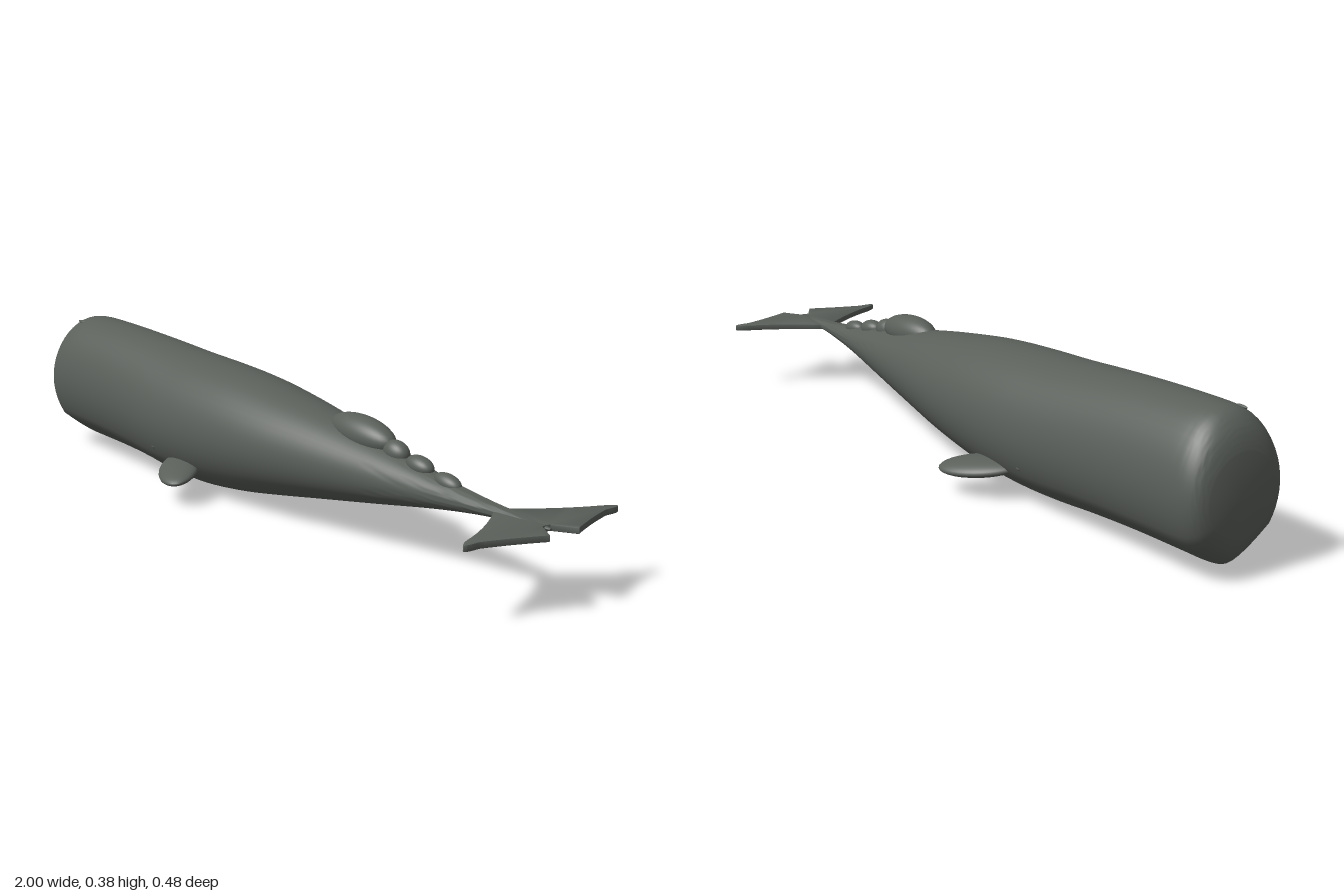
import * as THREE from 'three';
import { toCreasedNormals } from 'three/addons/utils/BufferGeometryUtils.js';

const skin = new THREE.MeshStandardMaterial({ color: 0x5a5f5a });
skin.name = 'slate grey skin';

// Stations from snout to tail: x, top, bottom, half width, jaw flattening
const STATIONS = [
  [-1, 0.3, 0.1, 0.095, 0.5], [-0.993, 0.325, 0.077, 0.112, 0.55],
  [-0.98, 0.352, 0.052, 0.126, 0.6], [-0.955, 0.377, 0.031, 0.136, 0.65],
  [-0.92, 0.387, 0.023, 0.14, 0.65], [-0.85, 0.388, 0.021, 0.143, 0.65],
  [-0.7, 0.383, 0.017, 0.147, 0.65], [-0.55, 0.374, 0.011, 0.154, 0.55],
  [-0.4, 0.363, 0.004, 0.163, 0.35], [-0.25, 0.355, 0.01, 0.166, 0.08],
  [-0.1, 0.344, 0.026, 0.16, 0], [0.05, 0.324, 0.05, 0.145, 0],
  [0.2, 0.3, 0.076, 0.12, 0], [0.4, 0.262, 0.11, 0.082, 0],
  [0.6, 0.224, 0.145, 0.045, 0], [0.75, 0.205, 0.166, 0.026, 0],
  [0.87, 0.195, 0.176, 0.016, 0], [0.96, 0.187, 0.181, 0.004, 0],
];

function bodyGeometry() {
  const SIDES = 48, RINGS = 85, CREASE = 0.609, CREASE_Z = 0.793;
  const spline = (a, b) => new THREE.CatmullRomCurve3(
    STATIONS.map((s) => new THREE.Vector3(s[0], s[a], s[b])), false, 'catmullrom');
  const outline = spline(1, 2), width = spline(3, 4);
  const pos = [], idx = [];
  // The first and last rings collapse to points and close the ends
  for (let i = -1; i <= RINGS + 1; i++) {
    const t = THREE.MathUtils.clamp(i / RINGS, 0, 1);
    const scale = i < 0 || i > RINGS ? 0 : 1;
    const o = outline.getPoint(t), w = width.getPoint(t);
    const cy = (o.y + o.z) / 2, ry = scale * (o.y - o.z) / 2, rz = scale * w.y;
    for (let j = 0; j <= SIDES; j++) {
      const a = ((j % SIDES) / SIDES) * Math.PI * 2;
      let c = Math.cos(a);
      const s = Math.sin(a);
      if (s < -CREASE) {
        // Below the jaw line the section flattens toward a keel
        const chord = CREASE_Z * (1 - (-s - CREASE) / (1 - CREASE)) * Math.sign(c);
        c = THREE.MathUtils.lerp(c, chord, w.z);
      }
      pos.push(o.x, cy + ry * s, rz * c);
    }
  }
  const row = SIDES + 1;
  for (let i = 0; i < RINGS + 2; i++) {
    for (let j = 0; j < SIDES; j++) {
      const a = i * row + j, b = a + row;
      idx.push(a, b, a + 1, b, b + 1, a + 1);
    }
  }
  const g = new THREE.BufferGeometry();
  g.setAttribute('position', new THREE.Float32BufferAttribute(pos, 3));
  g.setIndex(idx);
  return toCreasedNormals(g, 0.6);
}

function flukeGeometry(side) {
  // Half of the tail, drawn in plan as (x, sideways)
  const p = (x, z) => [x, z * side];
  const s = new THREE.Shape();
  s.moveTo(...p(0.8, 0));
  s.lineTo(...p(0.812, 0.026));
  s.quadraticCurveTo(...p(0.875, 0.105), ...p(0.912, 0.19));
  s.quadraticCurveTo(...p(0.925, 0.225), ...p(0.938, 0.236));
  s.quadraticCurveTo(...p(0.944, 0.236), ...p(0.942, 0.195));
  s.quadraticCurveTo(...p(0.962, 0.125), ...p(0.998, 0.046));
  s.lineTo(...p(0.945, 0.013));
  s.lineTo(...p(0.943, 0));
  const g = new THREE.ExtrudeGeometry(s, {
    depth: 0.01, bevelEnabled: true, bevelThickness: 0.003, bevelSize: 0.002, bevelSegments: 2, curveSegments: 10,
  });
  g.rotateX(Math.PI / 2);
  g.translate(0, 0.188, 0);
  return toCreasedNormals(g, 0.6);
}

export function createModel() {
  const whale = new THREE.Group();
  whale.name = 'whale';
  const add = (name, geometry) => {
    const m = new THREE.Mesh(geometry, skin);
    m.name = name;
    whale.add(m);
    return m;
  };
  const ellipsoid = (name, x, y, z, rx, ry, rz) => {
    const m = add(name, new THREE.SphereGeometry(1, 32, 20));
    m.position.set(x, y, z);
    m.scale.set(rx, ry, rz);
    return m;
  };

  add('body', bodyGeometry());

  // Dorsal hump and the knuckles running down to the tail
  ellipsoid('dorsalHump', 0.33, 0.272, 0, 0.115, 0.044, 0.046).rotation.z = -0.08;
  [[0.455, 0.25, 0.04, 0.029, 0.027], [0.54, 0.235, 0.042, 0.023, 0.025], [0.635, 0.215, 0.042, 0.021, 0.022]]
    .forEach(([x, y, rx, ry, rz], i) => {
      ellipsoid('knuckle' + (i + 1), x, y, 0, rx, ry, rz).rotation.z = -0.15;
    });

  // Paired flippers, eyes and tail flukes
  for (const side of [1, -1]) {
    const name = side > 0 ? 'right' : 'left';
    const flipper = ellipsoid(name + 'Flipper', -0.248, 0.08, side * 0.158, 0.11, 0.02, 0.055);
    flipper.rotation.set(side * 0.2, -side * 0.66, 0);
    ellipsoid(name + 'Eye', -0.39, 0.112, side * 0.146, 0.01, 0.006, 0.005);
    add(name + 'Fluke', flukeGeometry(side));
  }

  // Blowhole off centre on the snout
  ellipsoid('blowhole', -0.93, 0.374, 0.05, 0.018, 0.004, 0.005).rotation.x = 0.45;
  return whale;
}
